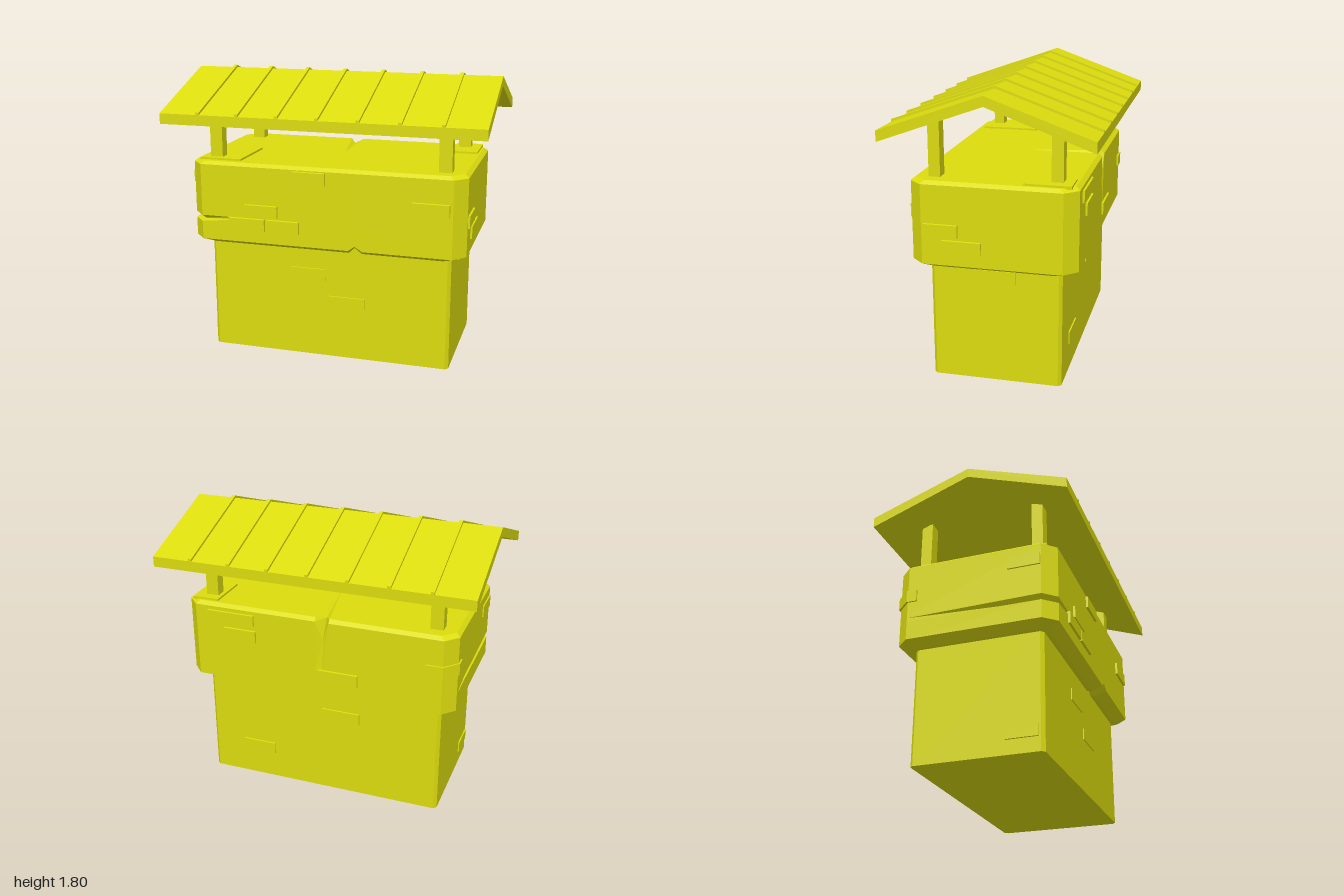
import * as THREE from 'three';

export function createModel() {
  const model = new THREE.Group();
  const yellow = new THREE.MeshStandardMaterial({ color: 0xdcdc0e, flatShading: true });
  yellow.name = 'yellow';

  function add(name, geometry, x = 0, y = 0, z = 0, parent = model) {
    const mesh = new THREE.Mesh(geometry, yellow);
    mesh.name = name;
    mesh.position.set(x, y, z);
    parent.add(mesh);
    return mesh;
  }

  // Closed solid from stacked rings of [x, y, z] points
  function loft(rings) {
    const pos = [];
    const tri = (a, b, c) => pos.push(...a, ...b, ...c);
    const n = rings[0].length;
    const last = rings[rings.length - 1];
    for (let i = 0; i < n; i++) {
      const j = (i + 1) % n;
      for (let r = 0; r < rings.length - 1; r++) {
        const lo = rings[r], hi = rings[r + 1];
        tri(lo[i], lo[j], hi[j]);
        tri(lo[i], hi[j], hi[i]);
      }
      tri([0, rings[0][0][1], 0], rings[0][j], rings[0][i]);
      tri([0, last[0][1], 0], last[i], last[j]);
    }
    const g = new THREE.BufferGeometry();
    g.setAttribute('position', new THREE.Float32BufferAttribute(pos, 3));
    g.computeVertexNormals();
    return g;
  }

  // Lower trunk with narrow chamfered corners
  const trunk = [[-0.76, 0.4], [0.76, 0.4], [0.78, 0.38], [0.78, -0.38],
    [0.76, -0.4], [-0.76, -0.4], [-0.78, -0.38], [-0.78, 0.38]];
  add('trunk', loft([0, 0.74].map(y => trunk.map(([x, z]) => [x, y, z]))));

  // Wide upper block: bevelled above and below, with chipped edges
  const outline = [[-0.8, 0.5], [-0.58, 0.5], [0.16, 0.5], [0.2, 0.5], [0.25, 0.5], [0.8, 0.5],
    [0.875, 0.42], [0.875, -0.42], [0.8, -0.5], [0, -0.5], [-0.05, -0.5], [-0.09, -0.5],
    [-0.8, -0.5], [-0.875, -0.42], [-0.875, 0.42]];
  const ring = (y, inset) => outline.map(([x, z]) =>
    [x * (1 - inset / 0.875), y, z * (1 - inset / 0.5)]);
  const rings = [ring(0.72, 0.07), ring(0.755, 0), ring(0.87, 0), ring(0.895, 0),
    ring(0.91, 0), ring(1.24, 0), ring(1.26, 0.025)];
  rings[0][3][1] = 0.755;                       // front notch in the lower edge
  rings[1][3][1] = 0.785;
  rings[3][0] = [-0.79, 0.88, 0.46];            // crack round the front corner
  rings[3][14] = [-0.84, 0.88, 0.41];
  rings[5][10] = [-0.05, 1.12, -0.49];          // back notch in the upper edge
  rings[6][10] = [-0.05, 1.24, -0.42];
  add('upperBlock', loft(rings));

  // Slightly raised slabs on the deck
  add('deckSlab', new THREE.BoxGeometry(0.27, 0.02, 0.38), -0.69, 1.262, 0.25);
  add('deckSlab', new THREE.BoxGeometry(0.17, 0.02, 0.28), 0.75, 1.262, -0.32);

  // Raised bricks: [left, right, bottom, top] along each wall
  function bricks(name, angle, distance, depth, list) {
    const wall = new THREE.Group();
    wall.name = name;
    wall.rotation.y = angle;
    for (const [u0, u1, y0, y1] of list) {
      const w = u1 - u0, h = y1 - y0;
      const g = new THREE.BoxGeometry(w, h, 0.04);
      const p = g.attributes.position;
      for (let i = 0; i < p.count; i++) {
        if (p.getZ(i) < 0) continue;
        p.setXYZ(i, p.getX(i) * (1 - 0.01 / w), p.getY(i) * (1 - 0.01 / h), depth);
      }
      g.computeVertexNormals();
      add('brick', g, (u0 + u1) / 2, (y0 + y1) / 2, distance, wall);
    }
    model.add(wall);
  }
  const H = Math.PI / 2;
  bricks('frontUpperBricks', 0, 0.5, 0.014, [[-0.2, 0.02, 1.15, 1.235], [-0.51, -0.29, 0.92, 1.005],
    [-0.62, -0.375, 0.83, 0.915], [-0.37, -0.15, 0.83, 0.915], [0.55, 0.785, 1.005, 1.095]]);
  bricks('frontLowerBricks', 0, 0.4, 0.006, [[-0.25, -0.01, 0.505, 0.59], [0, 0.245, 0.335, 0.415]]);
  bricks('leftUpperBricks', H, 0.875, 0.012, [[-0.41, -0.195, 0.925, 1.01], [-0.3, -0.055, 0.83, 0.915]]);
  bricks('leftLowerBricks', H, 0.78, 0.006, [[-0.13, 0.125, 0.63, 0.715]]);
  bricks('backUpperBricks', 2 * H, 0.5, 0.012, [[-0.72, -0.4, 1.14, 1.22], [-0.61, -0.39, 1.03, 1.115],
    [0.02, 0.28, 0.84, 0.925]]);
  bricks('backLowerBricks', 2 * H, 0.4, 0.008, [[0, 0.26, 0.51, 0.595], [-0.56, -0.33, 0.175, 0.26]]);
  bricks('rightUpperBricks', -H, 0.875, 0.008, [[0.21, 0.42, 1.1, 1.185]]);
  bricks('rightLowerBricks', -H, 0.78, 0.008, [[0.17, 0.37, 0.085, 0.165]]);

  const polygon = pts => new THREE.Shape(pts.map(([x, y]) => new THREE.Vector2(x, y)));
  const extrude = (pts, depth) =>
    new THREE.ExtrudeGeometry(polygon(pts), { depth, bevelEnabled: false });

  // Brick wrapping the back corner
  const corner = extrude([[-0.7, 0.48], [-0.7, 0.512], [-0.805, 0.512], [-0.885, 0.425],
    [-0.885, 0.36], [-0.85, 0.36]], 0.075);
  corner.rotateX(-H);
  add('cornerBrick', corner, 0, 1.0, 0);

  // Roof posts
  for (const x of [-0.73, 0.73]) for (const z of [-0.365, 0.365]) {
    add('post', new THREE.BoxGeometry(0.08, 0.37, 0.07), x, 1.42, z);
  }

  // Gabled roof with raised seams
  const gable = (ridge, eave, under, width) => extrude([[0, ridge], [-0.622, eave], [-0.622, under],
    [0, under + 0.225], [0.622, under], [0.622, eave]], width).translate(0, 0, -width / 2).rotateY(H);
  add('roof', gable(1.79, 1.57, 1.505, 2));
  for (let i = -3; i <= 3; i++) {
    add('roofSeam', gable(1.805, 1.585, 1.55, 0.022), i * 0.25);
  }

  return model;
}
